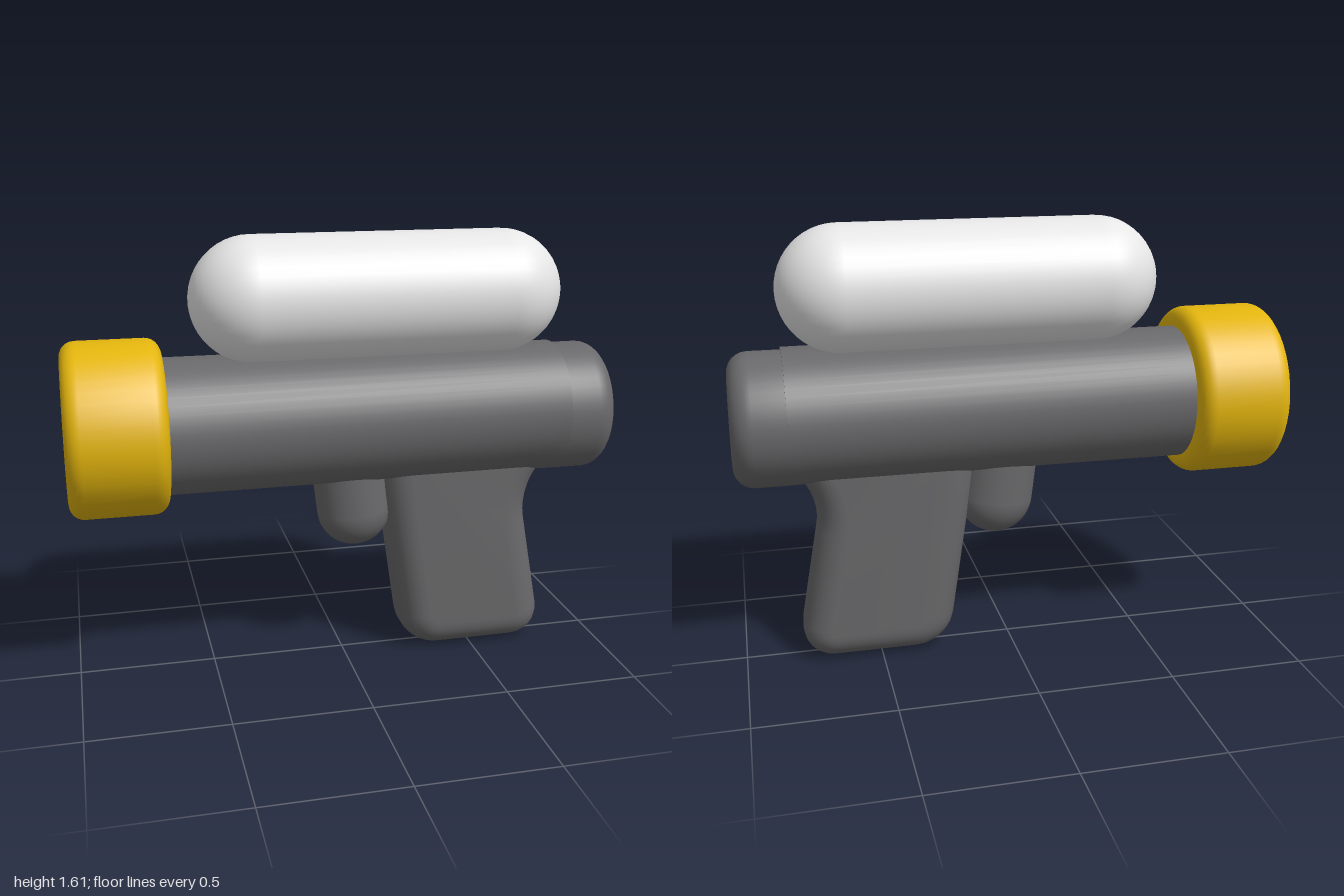
import * as THREE from 'three';
import { mergeVertices, toCreasedNormals } from 'three/addons/utils/BufferGeometryUtils.js';

const material = (name, color, side = THREE.FrontSide) => {
  const m = new THREE.MeshStandardMaterial({ color, side });
  m.name = name;
  return m;
};

// Outline through corners given as [x, y, radius], each corner rounded
function roundedOutline(corners) {
  const pts = [];
  const n = corners.length;
  corners.forEach(([x, y, r = 0], i) => {
    const p = new THREE.Vector2(x, y);
    if (!r) { pts.push(p); return; }
    const towards = ([qx, qy]) => new THREE.Vector2(qx - x, qy - y).normalize().multiplyScalar(r).add(p);
    const a = towards(corners[(i + n - 1) % n]);
    const b = towards(corners[(i + 1) % n]);
    const k = 0.552;
    const curve = new THREE.CubicBezierCurve(a, a.clone().lerp(p, k), b.clone().lerp(p, k), b);
    pts.push(...curve.getPoints(6));
  });
  return pts;
}

// Solid of revolution about the x axis; corners are [radius, x, rounding]
function turned(corners, closed = false) {
  const pts = roundedOutline(corners);
  if (closed) pts.push(pts[0].clone());
  return toCreasedNormals(new THREE.LatheGeometry(pts, 48), 0.6).rotateZ(-Math.PI / 2);
}

export function createModel() {
  const group = new THREE.Group();
  const grey = material('dark grey', 0x69696b);
  const yellow = material('yellow', 0xe3b50d);
  const white = material('white', 0xe6e6e6);
  const beige = material('beige', 0xb5a58f, THREE.DoubleSide);

  const add = (name, geometry, mat, x = 0, y = 0, z = 0) => {
    const mesh = new THREE.Mesh(geometry, mat);
    mesh.name = name;
    mesh.position.set(x, y, z);
    group.add(mesh);
    return mesh;
  };

  // Barrel, with its front end open inside the muzzle ring
  add('barrel', turned([[0.247, -0.75], [0.244, 0.81], [0, 0.81]]), grey, 0, 0.934);

  // Rounded rear cap
  add('rearCap', turned([[0, 0.7], [0.238, 0.7], [0.2415, 0.785, 0.01], [0.242, 1, 0.075], [0, 1]]), grey, 0, 0.927);

  // Muzzle ring and the bore inside it
  add('muzzleRing', turned([
    [0.2, -1, 0.015], [0.315, -1, 0.055], [0.315, -0.65, 0.055], [0.2, -0.65],
  ], true), yellow, 0, 0.938);
  add('bore', turned([[0.212, -0.994], [0.165, -0.94], [0.165, -0.55], [0, -0.55]]), beige, 0, 0.938);

  // Tank on top
  const tank = new THREE.CapsuleGeometry(0.225, 0.92, 12, 40).rotateZ(Math.PI / 2);
  add('tank', tank, white, 0.135, 1.38);

  // Grip with fully softened edges
  const outline = roundedOutline([
    [0.13, 0.85], [0.135, 0.7, 0.08], [0.238, 0, 0.13],
    [0.81, 0, 0.14], [0.7, 0.6, 0.09], [0.79, 0.74, 0.03], [0.79, 0.85],
  ]);
  const bevel = 0.105;
  let gripGeometry = new THREE.ExtrudeGeometry(new THREE.Shape(outline), {
    depth: 0.04, bevelEnabled: true, bevelThickness: bevel, bevelSize: bevel,
    bevelOffset: -bevel, bevelSegments: 8,
  });
  gripGeometry.deleteAttribute('normal');
  gripGeometry.deleteAttribute('uv');
  gripGeometry = toCreasedNormals(mergeVertices(gripGeometry), 0.7);
  gripGeometry.clearGroups();
  add('grip', gripGeometry, grey, 0, 0, -0.02);

  // Bulbous trigger, leaning slightly
  const trigger = add('trigger', new THREE.CapsuleGeometry(0.14, 0.2, 10, 28), grey, 0.035, 0.67);
  trigger.rotation.z = 0.12;
  trigger.scale.z = 0.85;

  return group;
}
